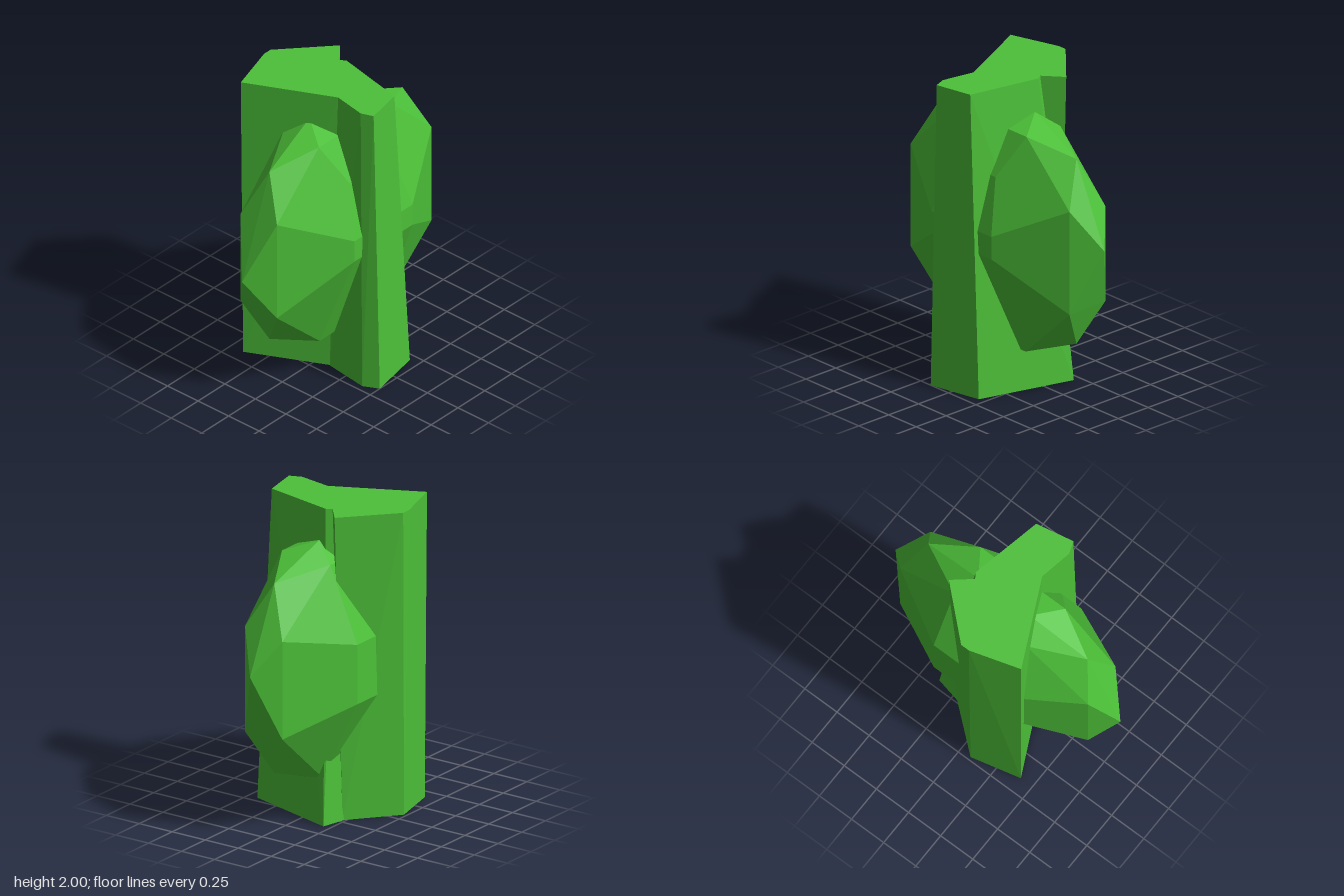
import * as THREE from 'three';
import { ConvexGeometry } from 'three/addons/geometries/ConvexGeometry.js';

const material = new THREE.MeshStandardMaterial({ color: 0x4cc038, flatShading: true });

function hull(name, points) {
  const mesh = new THREE.Mesh(new ConvexGeometry(points), material);
  mesh.name = name;
  return mesh;
}

// tapering pillar between a bottom and a top outline of [x, z] corners
function pillar(name, bottom, top) {
  const at = (y) => ([x, z]) => new THREE.Vector3(x, y, z);
  return hull(name, [...bottom.map(at(0)), ...top.map(at(2))]);
}

export function createModel() {
  const group = new THREE.Group();

  group.add(pillar('frontPillar',
    [[-0.16, 0.5], [0.2, 0.43], [0.38, -0.2], [0.15, -0.25], [-0.17, 0.1], [-0.21, 0.4]],
    [[-0.16, 0.45], [0.09, 0.4], [0.19, -0.08], [0.15, -0.14], [-0.15, 0.15], [-0.19, 0.37]]));

  group.add(pillar('backPillar',
    [[-0.41, -0.4], [-0.08, -0.48], [0.22, -0.23], [-0.165, 0.1]],
    [[-0.42, -0.41], [-0.09, -0.51], [-0.03, -0.51], [0.29, -0.22], [-0.15, 0.15]]));

  // flattened faceted boulder: corners mirrored left and right
  const points = [new THREE.Vector3(0.875, 1.08, 0), new THREE.Vector3(-0.875, 0.93, 0)];
  const corners = [
    // rim
    [0.62, 1.62, 0], [0.62, 0.38, 0], [0.2, 1.79, -0.04], [0.24, 0.24, 0],
    // front
    [0.72, 1.34, 0.15], [0.72, 0.65, 0.15], [0.33, 1.72, 0.15], [0.31, 0.27, 0.14],
    [0.2, 1.45, 0.29], [0.27, 1.1, 0.39], [0.27, 0.95, 0.39],
    // back
    [0.73, 1.3, -0.14], [0.73, 0.66, -0.14], [0.28, 1.68, -0.18], [0.3, 0.28, -0.14],
    [0.28, 1.2, -0.385], [0.28, 0.81, -0.385],
  ];
  for (const [x, y, z] of corners) {
    for (const side of [1, -1]) points.push(new THREE.Vector3(side * x, y, z));
  }
  group.add(hull('boulder', points));

  return group;
}
